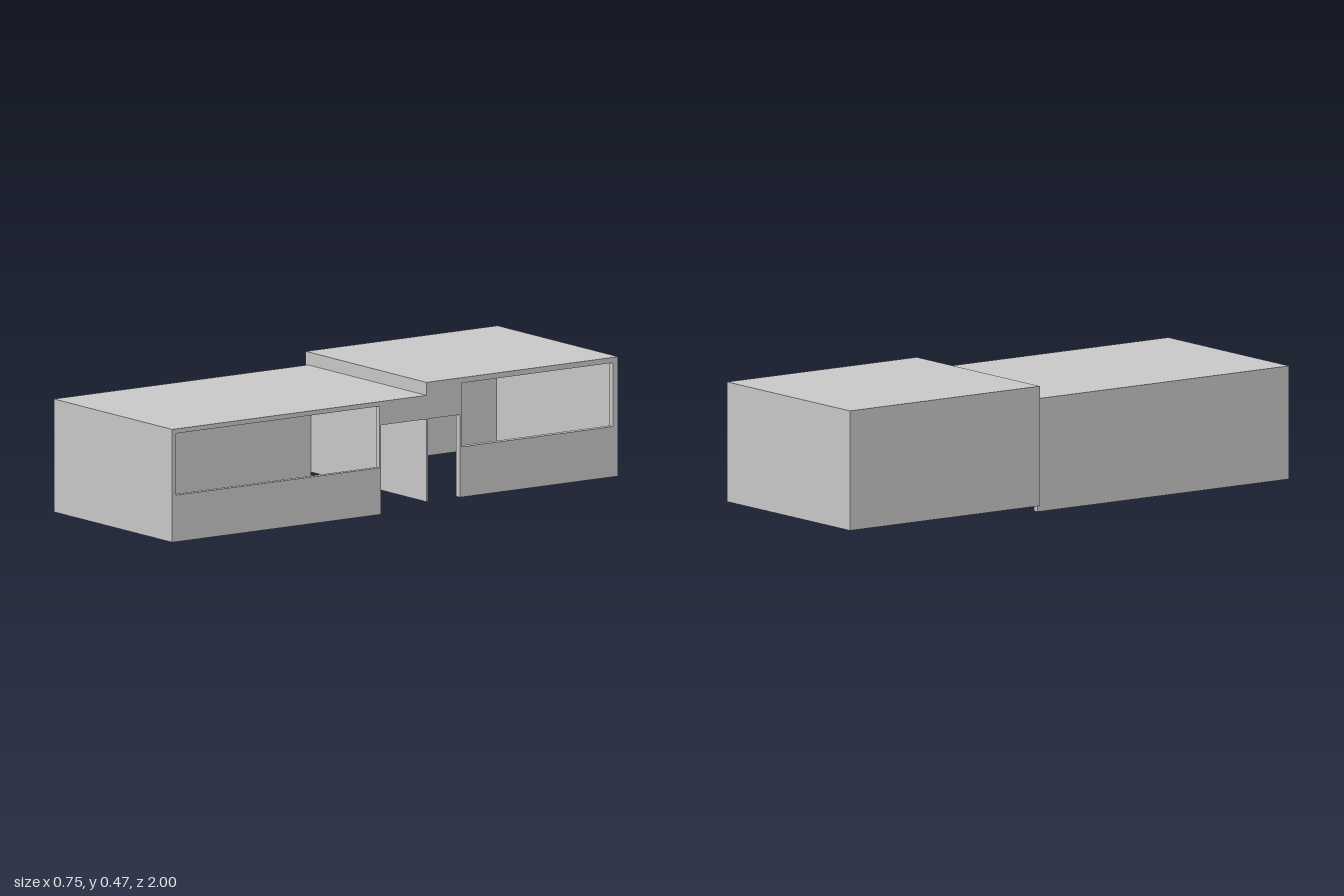
import * as THREE from 'three';

const material = new THREE.MeshStandardMaterial({ color: 0xcccccc, flatShading: true });

// Box given by its min and max corners
function slab(name, [x0, y0, z0], [x1, y1, z1]) {
  const mesh = new THREE.Mesh(new THREE.BoxGeometry(x1 - x0, y1 - y0, z1 - z0), material);
  mesh.name = name;
  mesh.position.set((x0 + x1) / 2, (y0 + y1) / 2, (z0 + z1) / 2);
  return mesh;
}

// Left wall with a doorway cut up from the bottom and a window; u runs towards the back (u = -z)
function openingWall(name, xOuter, t, outline, win) {
  const shape = new THREE.Shape(outline.map(([u, y]) => new THREE.Vector2(u, y)));
  const [u0, y0, u1, y1] = win;
  shape.holes.push(new THREE.Path([[u0, y0], [u0, y1], [u1, y1], [u1, y0]].map(([u, y]) => new THREE.Vector2(u, y))));
  const geometry = new THREE.ExtrudeGeometry(shape, { depth: t, bevelEnabled: false });
  geometry.rotateY(Math.PI / 2);
  const mesh = new THREE.Mesh(geometry, material);
  mesh.name = name;
  mesh.position.x = xOuter - t;
  return mesh;
}

export function createModel() {
  const model = new THREE.Group();
  const right = 0.375, split = -0.14, doorTop = 0.33;

  // Lower front section: open below and at its back end
  const front = new THREE.Group();
  front.name = 'frontSection';
  const fx = -0.361, fTop = 0.418, fRoof = 0.403, t = 0.02;
  front.add(
    slab('frontRoof', [fx, fRoof, split], [right, fTop, 1]),
    slab('frontEndWall', [fx + t, 0, 1 - t], [right - t, fRoof, 1]),
    slab('frontBlankWall', [fx, 0, split], [fx + t, fRoof, 1]),
    openingWall('frontWindowWall', right, t,
      [[-1, 0], [-0.065, 0], [-0.065, doorTop], [-split, doorTop], [-split, fRoof], [-1, fRoof]],
      [-0.984, 0.173, -0.07, 0.401]),
  );

  // Taller rear section: raised slightly, open below, with a thin partition
  const rear = new THREE.Group();
  rear.name = 'rearSection';
  const rx = -0.375, base = 0.024, rTop = 0.466, rRoof = 0.448, p = 0.006, s = 0.024;
  rear.add(
    slab('rearRoof', [rx, rRoof, -1], [right, rTop, split]),
    slab('rearEndWall', [rx + t, base, -1], [right - s, rRoof, -1 + t]),
    slab('rearBlankWall', [rx, base, -1], [rx + t, rRoof, split - p]),
    slab('partition', [rx, base, split - p], [right, rRoof, split]),
    openingWall('rearWindowWall', right, s,
      [[p - split, doorTop], [0.29, doorTop], [0.29, base], [1, base], [1, rRoof], [p - split, rRoof]],
      [0.298, 0.21, 0.976, 0.446]),
  );

  model.add(front, rear);
  return model;
}
